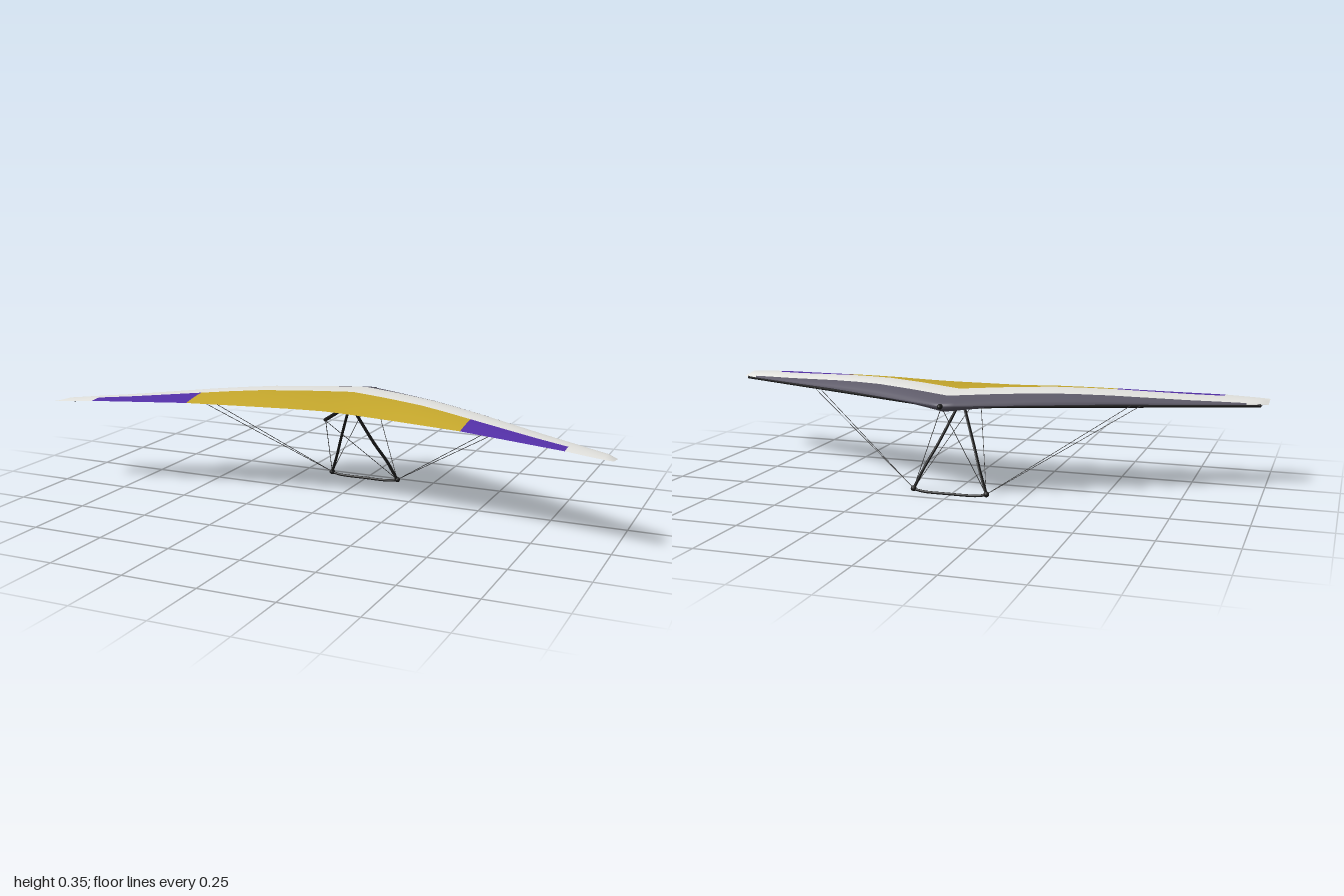
import * as THREE from 'three';

const mat = (name, color) => {
  const m = new THREE.MeshStandardMaterial({ color });
  m.name = name;
  return m;
};

// Piecewise linear lookup in [x, value] pairs
function lookup(table, x) {
  for (let i = 1; i < table.length; i++) {
    const [x0, v0] = table[i - 1], [x1, v1] = table[i];
    if (x <= x1) return v0 + (v1 - v0) * (x - x0) / (x1 - x0);
  }
  return table[table.length - 1][1];
}

// Span-wise shape of the wing, by distance from the centre line
const leadZ = [[0, -0.285], [0.97, 0.208], [1, 0.232]];
const trailZ = [[0, 0.157], [0.1, 0.162], [0.25, 0.18], [0.5, 0.215], [0.85, 0.28], [0.95, 0.297], [1, 0.3]];
const leadY = [[0, 0.32], [0.5, 0.312], [1, 0.295]];
const trailY = [[0, 0.33], [0.3, 0.327], [0.5, 0.325], [0.85, 0.314], [1, 0.304]];
const camber = [[0, 0.025], [0.15, 0.031], [0.3, 0.034], [0.4, 0.031], [0.5, 0.026], [0.75, 0.014], [0.97, 0.008], [1, 0]];
const belly = [[0, 0.029], [0.08, 0.02], [0.16, 0.012], [0.28, 0.007], [0.5, 0.005], [0.97, 0.004], [1, 0]];
const bandWidth = [[0, 0.075], [0.93, 0.006], [1, 0.004]];
const panelZ = [[0, -0.09], [0.5, 0.11], [0.85, 0.235], [1, 0.283]];

const halfSpan = [0.04, 0.08, 0.12, 0.16, 0.2, 0.25, 0.3, 0.35, 0.4, 0.45, 0.5, 0.56, 0.62, 0.68,
  0.74, 0.8, 0.85, 0.89, 0.93, 0.97, 0.99, 1];
const columns = [...halfSpan.map(x => -x).reverse(), 0, ...halfSpan];
const ROWS = 6; // rows in each of the three chord-wise bands

// One skin of the wing; pick(|x|, band) gives the material index of a cell
function skin(upper, pick, materials) {
  const pos = [], index = [], geo = new THREE.BufferGeometry();
  const n = ROWS * 3 + 1;
  for (const cx of columns) {
    const x = Math.abs(cx);
    const z0 = lookup(leadZ, x), z3 = lookup(trailZ, x);
    const z1 = z0 + lookup(bandWidth, x) * (upper ? 1 : 0.4);
    const edges = [z0, z1, lookup(panelZ, x), z3];
    for (let j = 0; j < n; j++) {
      const band = Math.min(2, Math.floor(j / ROWS));
      let f = j / ROWS - band;
      if (band === 0) f *= f;
      const z = edges[band] + (edges[band + 1] - edges[band]) * f;
      const t = THREE.MathUtils.clamp((z - z0) / (z3 - z0), 0, 1);
      const base = THREE.MathUtils.lerp(lookup(leadY, x), lookup(trailY, x), t);
      const bulge = upper
        ? lookup(camber, x) * Math.sqrt(t) * (1 - t) / 0.385
        : -lookup(belly, x) * Math.sqrt(t) * (1 - t) ** 2 / 0.286;
      pos.push(cx, base + bulge, z);
    }
  }
  for (let i = 0; i < columns.length - 1; i++) {
    const mid = Math.abs(columns[i] + columns[i + 1]) / 2;
    for (let band = 0; band < 3; band++) {
      geo.addGroup(index.length, ROWS * 6, pick(mid, band));
      for (let j = band * ROWS; j < (band + 1) * ROWS; j++) {
        const a = i * n + j, b = a + n, c = a + 1, d = b + 1;
        if (upper) index.push(a, c, b, b, c, d);
        else index.push(a, b, c, b, d, c);
      }
    }
  }
  geo.setAttribute('position', new THREE.Float32BufferAttribute(pos, 3));
  geo.setIndex(index);
  geo.computeVertexNormals();
  return new THREE.Mesh(geo, materials);
}

const V = (x, y, z) => new THREE.Vector3(x, y, z);

// Straight round bar between two points
function bar(a, b, r0, r1 = r0, sides = 10) {
  const dir = b.clone().sub(a);
  const geo = new THREE.CylinderGeometry(r1, r0, dir.length(), sides);
  geo.applyQuaternion(new THREE.Quaternion().setFromUnitVectors(V(0, 1, 0), dir.normalize()));
  geo.translate((a.x + b.x) / 2, (a.y + b.y) / 2, (a.z + b.z) / 2);
  return geo;
}

export function createModel() {
  const model = new THREE.Group();
  model.name = 'hangGlider';
  const white = mat('whiteSail', 0xe4e4e0);
  const grey = mat('slateLeadingEdge', 0x5e5b69);
  const yellow = mat('yellowPanel', 0xc6a82c);
  const purple = mat('purplePanel', 0x5430a8);
  const black = mat('blackFrame', 0x1c1c1c);
  const wire = mat('wireGrey', 0x333333);
  const loop = mat('hangLoopTan', 0x6a5f4a);
  const sailMats = [white, grey, yellow, purple, black];

  const add = (name, geo, material) => {
    const mesh = new THREE.Mesh(geo, material);
    mesh.name = name;
    model.add(mesh);
    return mesh;
  };

  // Sail skins
  const top = skin(true, (x, band) => {
    if (band === 0) return x < 0.93 ? 1 : 0;
    if (band === 1) return 0;
    return x < 0.5 ? 2 : x < 0.85 ? 3 : 0;
  }, sailMats);
  top.name = 'sailTop';
  const bottom = skin(false, (x, band) => {
    if (x > 0.85) return 4;
    if (band === 0) return 1;
    return band === 2 && x < 0.5 ? 2 : 0;
  }, sailMats);
  bottom.name = 'sailUnderside';
  model.add(top, bottom);

  // Keel tube, nose fitting and hang loop
  add('keel', bar(V(0, 0.318, -0.28), V(0, 0.298, 0.145), 0.006), black);
  const nose = add('noseFitting', new THREE.SphereGeometry(0.009, 16, 10), black);
  nose.scale.z = 1.5;
  nose.position.set(0, 0.32, -0.287);
  const ring = add('hangLoop', new THREE.TorusGeometry(0.007, 0.0015, 8, 16), loop);
  ring.rotation.y = Math.PI / 2;
  ring.position.set(0, 0.297, -0.018);

  for (const s of [1, -1]) {
    const side = s > 0 ? 'left' : 'right';
    const corner = V(s * 0.13, 0.014, -0.195);

    // Leading edge tube with a rounded end
    const tubeEnd = V(s * 0.972, 0.293, 0.212);
    add(side + 'LeadingEdgeTube', bar(V(0, 0.318, -0.272), tubeEnd, 0.006, 0.005), black);
    add(side + 'TubeCap', new THREE.SphereGeometry(0.006, 10, 8), black).position.copy(tubeEnd);

    // Curved streamlined downtube, stretched front to back
    const k = 1.9;
    const path = new THREE.CatmullRomCurve3([
      V(s * 0.003, 0.305, -0.066 / k), V(s * 0.065, 0.16, -0.128 / k),
      V(s * 0.098, 0.088, -0.168 / k), V(s * 0.128, 0.018, -0.193 / k)]);
    const tube = new THREE.TubeGeometry(path, 24, 0.0045, 10);
    tube.scale(1, 1, k);
    add(side + 'Downtube', tube, black);
    add(side + 'CornerFitting', new THREE.SphereGeometry(0.01, 12, 8), black).position.copy(corner);

    // Rigging wires from the base corner
    const anchors = {
      FrontWire: V(0, 0.316, -0.273), RearWire: V(0, 0.294, 0.14),
      OuterSideWire: V(s * 0.6, 0.304, 0.02), InnerSideWire: V(s * 0.57, 0.306, 0.002),
    };
    for (const [name, end] of Object.entries(anchors))
      add(side + name, bar(corner, end, 0.0011, 0.0011, 6), wire);
  }

  // Base bar of the control frame
  const base = new THREE.CatmullRomCurve3([
    V(-0.13, 0.012, -0.195), V(-0.095, 0.006, -0.196), V(0, 0.005, -0.197),
    V(0.095, 0.006, -0.196), V(0.13, 0.012, -0.195)]);
  add('baseBar', new THREE.TubeGeometry(base, 32, 0.0045, 10), black);

  return model;
}
